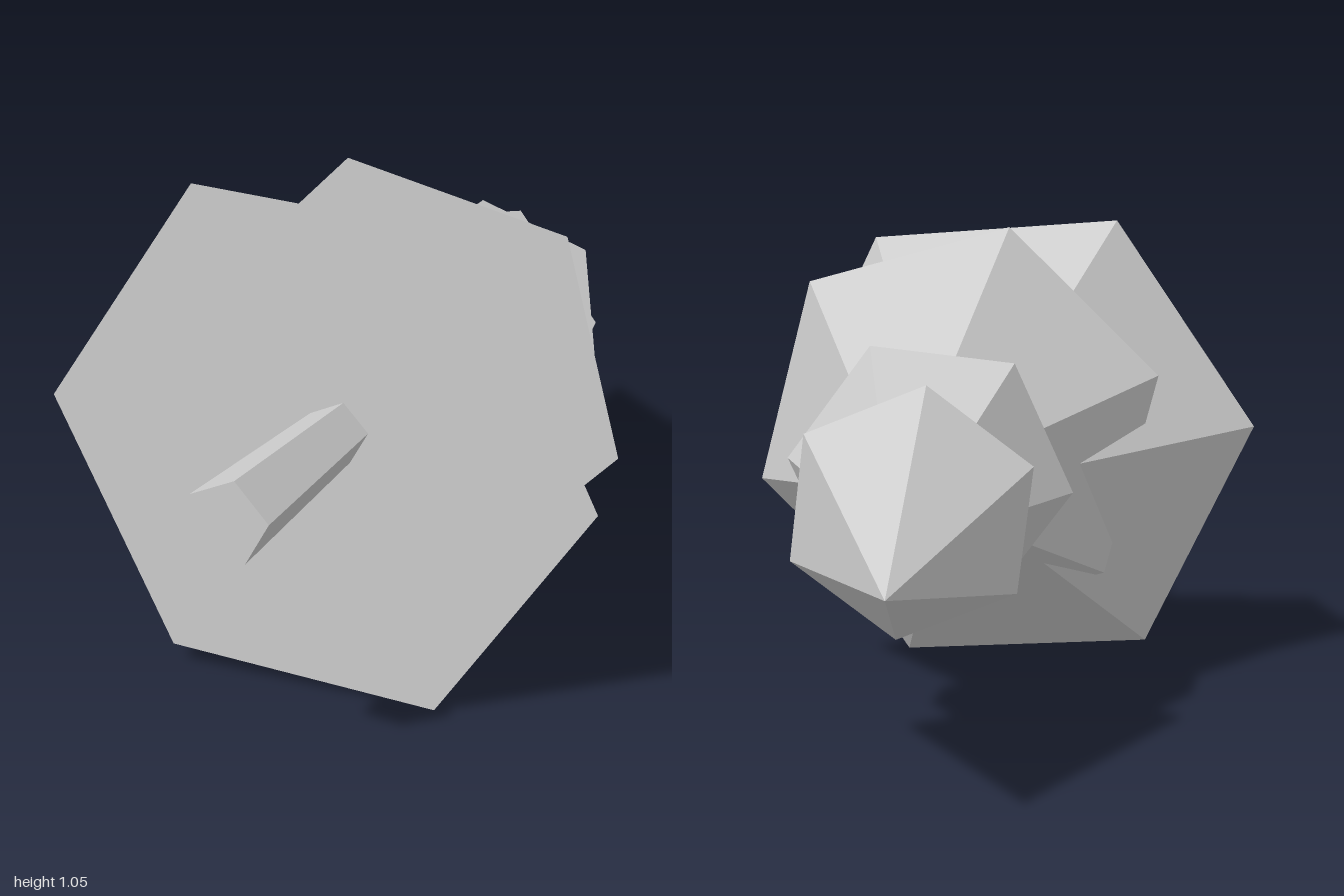
import * as THREE from 'three';

// Regular ring of points around a centre; tilt gives the z slope along x and y
function ring(sides, [cx, cy, cz], radius, degrees, [tx, ty] = [0, 0]) {
  return Array.from({ length: sides }, (_, i) => {
    const a = THREE.MathUtils.degToRad(degrees) + (i / sides) * Math.PI * 2;
    const x = Math.cos(a) * radius, y = Math.sin(a) * radius;
    return [cx + x, cy + y, cz + tx * x + ty * y];
  });
}

// Closed faceted solid from a front ring to a rear ring (a single rear point makes a cone)
function solid(front, rear) {
  const n = front.length, pos = [];
  const tri = (...pts) => pts.forEach((p) => pos.push(...p));
  for (let i = 0; i < n; i++) {
    const j = (i + 1) % n;
    const ri = rear[i % rear.length], rj = rear[j % rear.length];
    tri(front[j], front[i], ri);
    if (rear.length > 1) tri(front[j], ri, rj);
    if (i > 0 && i < n - 1) {
      tri(front[0], front[i], front[j]);
      if (rear.length > 1) tri(rear[0], rj, ri);
    }
  }
  const g = new THREE.BufferGeometry();
  g.setAttribute('position', new THREE.Float32BufferAttribute(pos, 3));
  g.computeVertexNormals();
  return g;
}

export function createModel() {
  const group = new THREE.Group();
  group.name = 'lowPolyPineTree';
  const material = new THREE.MeshStandardMaterial({ color: 0xcccccc, flatShading: true });
  const add = (name, geometry) => {
    const mesh = new THREE.Mesh(geometry, material);
    mesh.name = name;
    group.add(mesh);
  };

  // Foliage: four overlapping six-sided cones, each leaning its own way
  const tiers = [
    { name: 'bottomFoliage', base: [0, 0.525, 0.53], radius: 0.58, turn: -4.4, tilt: [0, 0], tip: [0, 0.525, -0.25] },
    { name: 'lowerFoliage', base: [0.075, 0.59, 0.24], radius: 0.47, turn: -15.4, tilt: [-0.07, -0.02], tip: [0.05, 0.56, -0.515] },
    { name: 'upperFoliage', base: [0.05, 0.55, -0.2], radius: 0.297, turn: 6.8, tilt: [-0.134, -0.1], tip: [-0.005, 0.505, -0.8] },
    { name: 'topFoliage', base: [0.04, 0.51, -0.445], radius: 0.263, turn: -22.2, tilt: [-0.116, -0.085], tip: [-0.03, 0.455, -1] },
  ];
  for (const t of tiers) add(t.name, solid(ring(6, t.base, t.radius, t.turn, t.tilt), [t.tip]));

  // Trunk: tapered five-sided post running into the bottom foliage
  add('trunk', solid(
    ring(5, [0.027, 0.576, 0.995], 0.084, 6, [0.04, 0]),
    ring(5, [0.053, 0.574, 0.4], 0.06, 6),
  ));
  return group;
}
